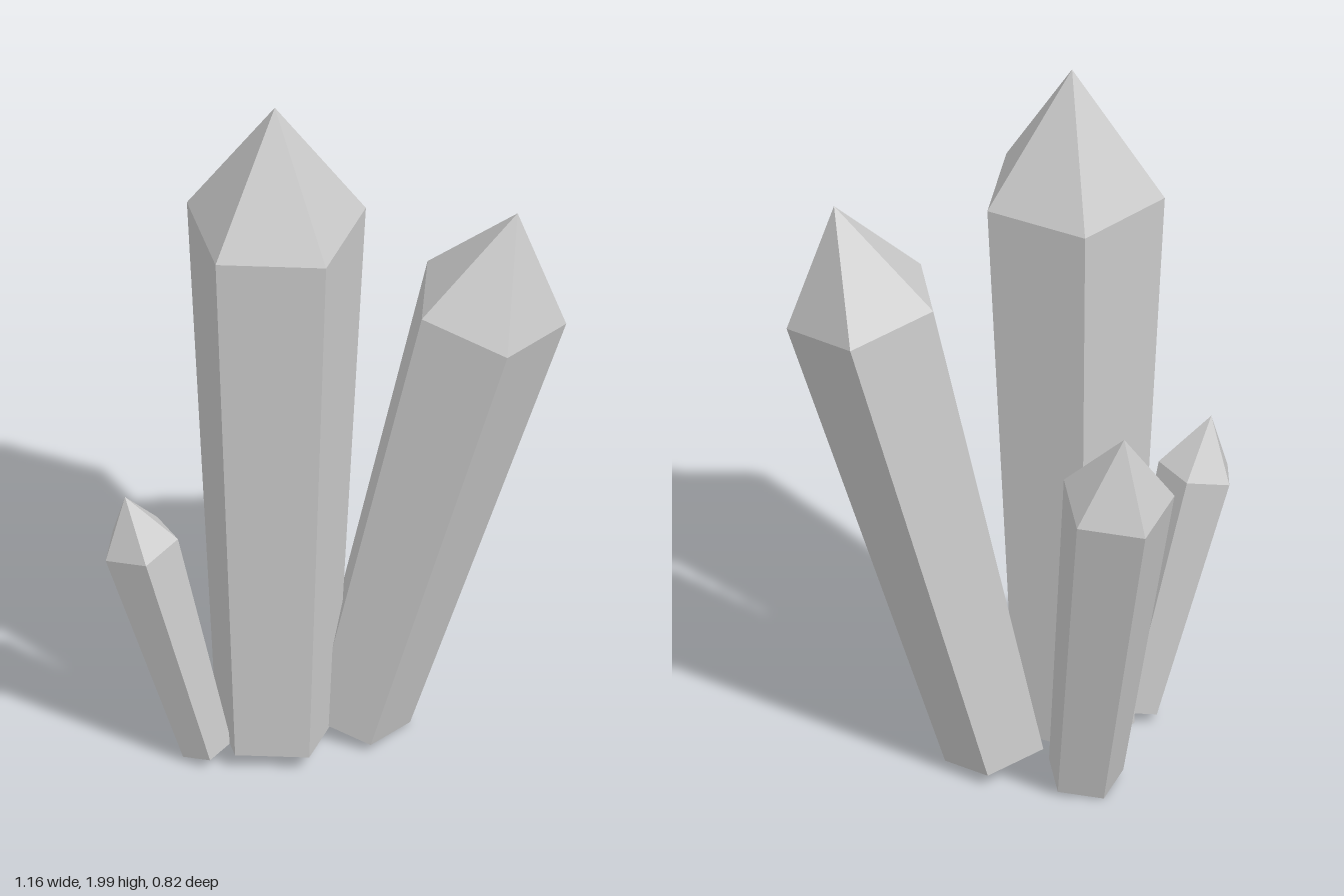
import * as THREE from 'three';

const material = new THREE.MeshStandardMaterial({ color: 0xcccccc, flatShading: true });

// Five-sided crystal from a base centre to a shoulder centre, with a pointed tip.
// corner = [x, z] heading of one of its edges.
function crystal({ name, base, shoulder, radius, tip, corner }) {
  const start = new THREE.Vector3(...base);
  const axis = new THREE.Vector3(...shoulder).sub(start);
  const length = axis.length();
  axis.normalize();

  const profile = [
    new THREE.Vector2(0, 0),
    new THREE.Vector2(radius * 0.67, 0),
    new THREE.Vector2(radius, length),
    new THREE.Vector2(0, length + tip),
  ];
  const mesh = new THREE.Mesh(new THREE.LatheGeometry(profile, 5), material);
  mesh.name = name;

  // Lean along the axis and twist so one edge faces the corner heading
  const [cx, cz] = corner;
  const edge = new THREE.Vector3(cx, -(cx * axis.x + cz * axis.z) / axis.y, cz).normalize();
  const side = new THREE.Vector3().crossVectors(axis, edge);
  mesh.quaternion.setFromRotationMatrix(new THREE.Matrix4().makeBasis(side, axis, edge));
  mesh.position.copy(start);
  return mesh;
}

export function createModel() {
  const group = new THREE.Group();
  group.name = 'crystalCluster';
  group.add(
    crystal({ name: 'mainCrystal', base: [-0.16, 0.053, 0.195], shoulder: [-0.16, 1.64, 0.195], radius: 0.24, tip: 0.36, corner: [0, -1] }),
    crystal({ name: 'leftCrystal', base: [0.046, 0.045, 0.1], shoulder: [0.381, 1.365, 0.148], radius: 0.206, tip: 0.31, corner: [1, 0] }),
    crystal({ name: 'backCrystal', base: [-0.16, 0.03, -0.037], shoulder: [-0.209, 0.995, -0.28], radius: 0.15, tip: 0.222, corner: [-0.151, 0.01] }),
    crystal({ name: 'smallCrystal', base: [-0.332, 0.038, 0.262], shoulder: [-0.498, 0.7, 0.308], radius: 0.101, tip: 0.155, corner: [0.098, 0.012] }),
  );
  return group;
}
